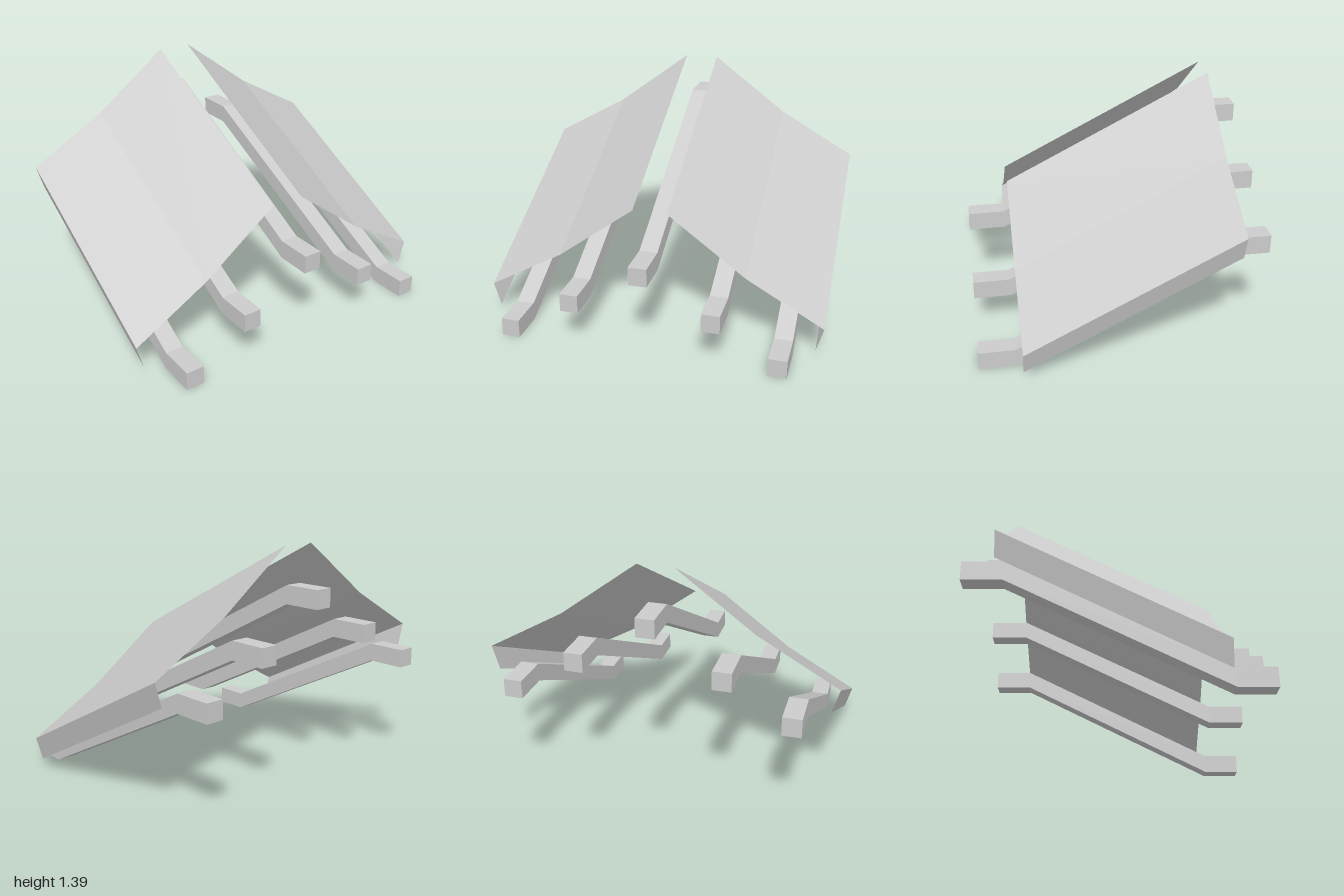
import * as THREE from 'three';

const grey = new THREE.MeshStandardMaterial({ color: 0xcccccc, side: THREE.DoubleSide });
grey.name = 'light grey';

// Bent square beam: level foot at the front, sloping run, level end at the back
function beam(name, x, base, rise) {
  const t = 0.108, w = 0.106;
  const path = [[0.812, base], [0.602, base], [-0.588, base + rise], [-0.812, base + rise]];
  const outline = [...path, ...path.map(([z, y]) => [z, y + t]).reverse()];
  const shape = new THREE.Shape(outline.map(([z, y]) => new THREE.Vector2(z, y)));
  const geo = new THREE.ExtrudeGeometry(shape, { depth: w, bevelEnabled: false });
  geo.translate(0, 0, -w / 2).rotateY(-Math.PI / 2);
  const mesh = new THREE.Mesh(geo, grey);
  mesh.name = name;
  mesh.position.x = x;
  return mesh;
}

// Thin folded roof sheet: one cross-section swept from the front up to the back
function roofPanel(name, side) {
  const section = [[0.1, 0.78], [0.55, 0.445], [1, 0.19], [0.96, 0.05]].map(([x, y]) => [x * side, y]);
  if (side < 0) section.reverse();
  const front = section.map(([x, y]) => [x, y, 0.573]);
  const back = section.map(([x, y]) => [x, y + 0.61, -0.62]);
  const pos = [];
  for (let i = 0; i < section.length - 1; i++) {
    pos.push(...front[i], ...front[i + 1], ...back[i + 1]);
    pos.push(...front[i], ...back[i + 1], ...back[i]);
  }
  const geo = new THREE.BufferGeometry();
  geo.setAttribute('position', new THREE.Float32BufferAttribute(pos, 3));
  geo.computeVertexNormals();
  const mesh = new THREE.Mesh(geo, grey);
  mesh.name = name;
  return mesh;
}

export function createModel() {
  const model = new THREE.Group();
  model.name = 'roof';
  model.add(beam('ridgeBeam', 0, 0.443, 0.615));
  for (const [side, label] of [[1, 'left'], [-1, 'right']]) {
    model.add(beam(label + 'MiddleBeam', side * 0.41, 0.217, 0.592));
    model.add(beam(label + 'OuterBeam', side * 0.783, 0, 0.597));
    model.add(roofPanel(label + 'RoofPanel', side));
  }
  return model;
}
